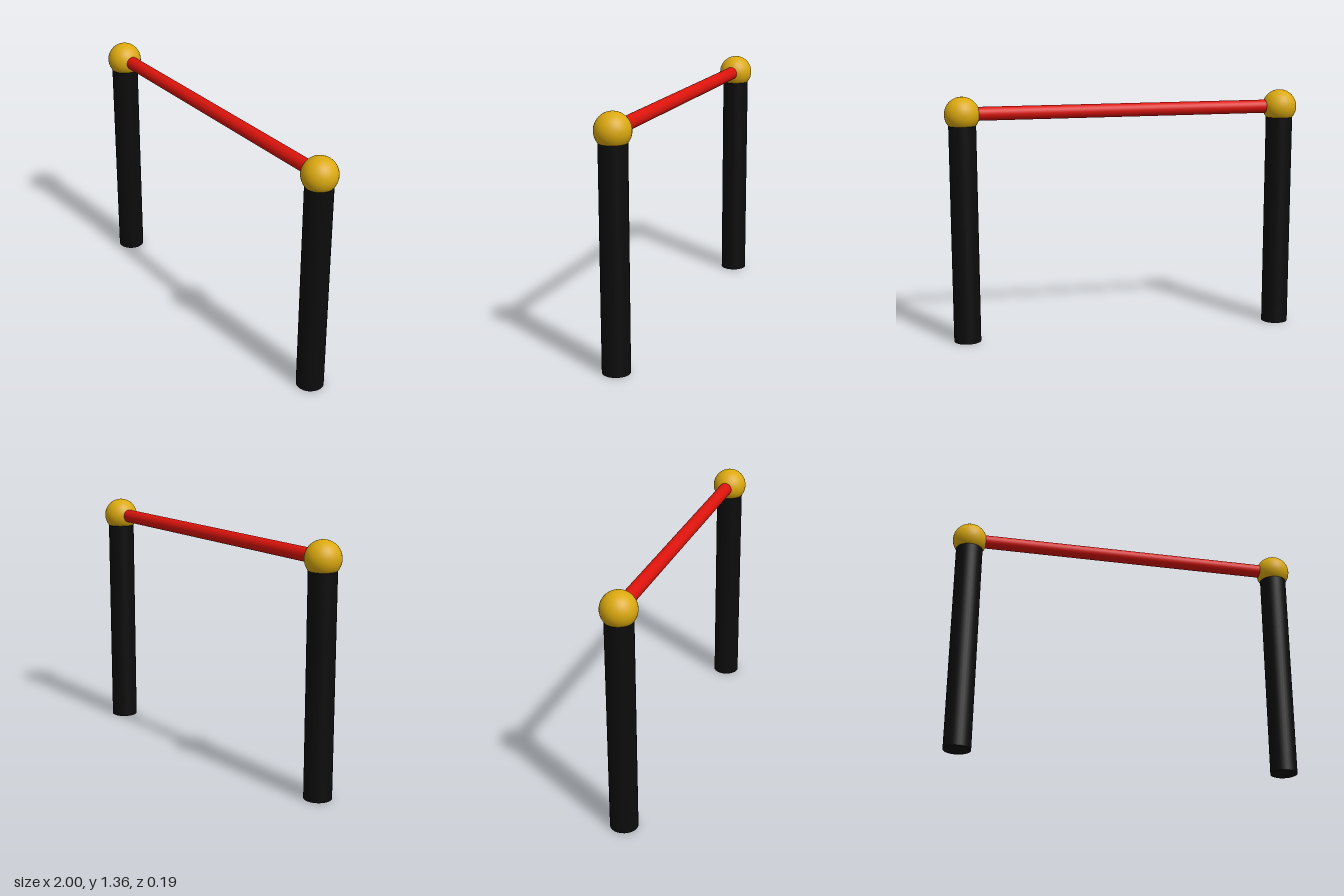
import * as THREE from 'three';

const BALL_R = 0.096, POST_R = 0.075, BAR_R = 0.0375;
const TOP_Y = 1.265, POST_X = 1 - BALL_R;
const POST_H = 1.21;

export function createModel() {
  const model = new THREE.Group();
  model.name = 'barrier';

  const black = new THREE.MeshStandardMaterial({ color: 0x0c0c0c });
  const gold = new THREE.MeshStandardMaterial({ color: 0xdba90f });
  const red = new THREE.MeshStandardMaterial({ color: 0xdc140c });

  const add = (name, geometry, material, x, y) => {
    const mesh = new THREE.Mesh(geometry, material);
    mesh.name = name;
    mesh.position.set(x, y, 0);
    model.add(mesh);
    return mesh;
  };

  // Upright posts, each topped with a ball
  const postGeometry = new THREE.CylinderGeometry(POST_R, POST_R, POST_H, 32);
  const ballGeometry = new THREE.SphereGeometry(BALL_R, 32, 24);
  for (const [side, sign] of [['left', 1], ['right', -1]]) {
    add(side + 'Post', postGeometry, black, sign * POST_X, POST_H / 2);
    add(side + 'Ball', ballGeometry, gold, sign * POST_X, TOP_Y);
  }

  // Crossbar running from ball centre to ball centre
  const barGeometry = new THREE.CylinderGeometry(BAR_R, BAR_R, POST_X * 2, 32);
  add('crossbar', barGeometry, red, 0, TOP_Y + 0.002).rotation.z = Math.PI / 2;

  return model;
}
